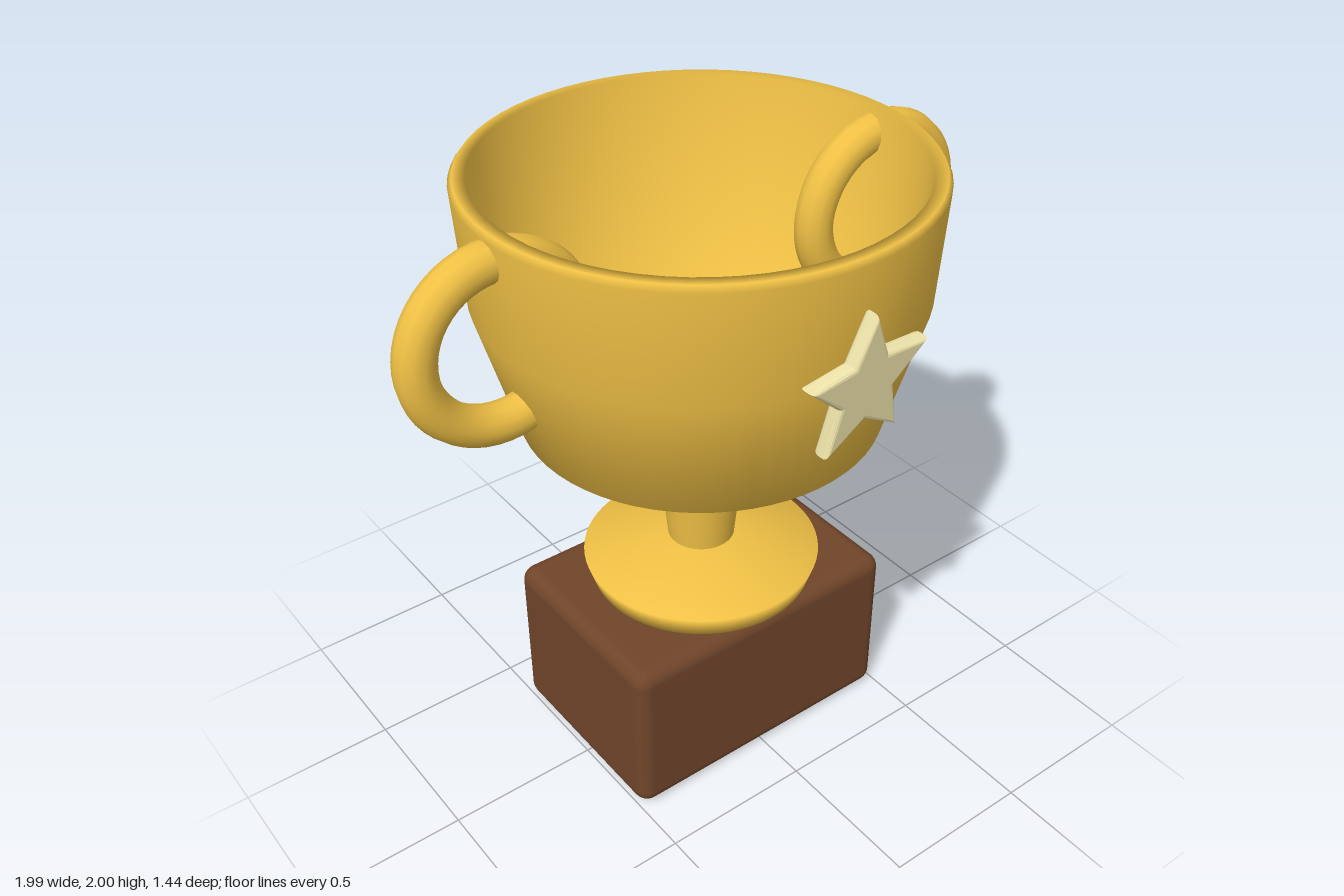
import * as THREE from 'three';
import { RoundedBoxGeometry } from 'three/addons/geometries/RoundedBoxGeometry.js';

const gold = new THREE.MeshStandardMaterial({ color: 0xefc045 });
const brown = new THREE.MeshStandardMaterial({ color: 0x70452a });
const cream = new THREE.MeshStandardMaterial({ color: 0xeee3aa });

const AXIS_Z = -0.022; // the cup stands slightly behind the origin

function part(name, geometry, material, x, y, z) {
  const mesh = new THREE.Mesh(geometry, material);
  mesh.name = name;
  mesh.position.set(x, y, z);
  return mesh;
}

// Smooth turned part from [radius, height] pairs, outside upwards
function turned(name, profile) {
  const points = profile.map(([r, y]) => new THREE.Vector2(r, y));
  return part(name, new THREE.LatheGeometry(points, 64), gold, 0, 0, AXIS_Z);
}

// Five-pointed star with softened edges, centred on its thickness
function starGeometry(outer, inner) {
  const shape = new THREE.Shape();
  for (let i = 0; i < 10; i++) {
    const r = i % 2 ? inner : outer;
    const a = Math.PI / 2 + (i * Math.PI) / 5;
    if (i) shape.lineTo(r * Math.cos(a), r * Math.sin(a));
    else shape.moveTo(r * Math.cos(a), r * Math.sin(a));
  }
  shape.closePath();
  const geometry = new THREE.ExtrudeGeometry(shape, {
    depth: 0.02, bevelEnabled: true, bevelThickness: 0.015,
    bevelSize: 0.014, bevelOffset: -0.014, bevelSegments: 3,
  });
  geometry.translate(0, 0, -0.01);
  return geometry;
}

export function createModel() {
  const trophy = new THREE.Group();
  trophy.name = 'trophy';

  // Plinth with rounded edges
  trophy.add(part('plinth', new RoundedBoxGeometry(1, 0.565, 0.7, 4, 0.05), brown, 0, 0.2825, AXIS_Z));

  // Foot and stem
  trophy.add(turned('foot', [[0, 0.567], [0.362, 0.567], [0.386, 0.643], [0.11, 0.703], [0, 0.703]]));
  trophy.add(turned('stem', [[0.107, 0.69], [0.136, 0.985]]));

  // Hollow cup: outside, rim, straight inner wall, flat floor
  trophy.add(turned('cup', [
    [0, 0.975], [0.235, 0.975], [0.56, 1.205], [0.678, 1.63], [0.699, 1.982],
    [0.686, 2], [0.648, 2], [0.525, 1.2], [0, 1.2],
  ]));

  // Ring handles passing through the cup wall
  for (const side of [1, -1]) {
    const ring = new THREE.TorusGeometry(0.25, 0.061, 12, 48);
    trophy.add(part(side > 0 ? 'leftHandle' : 'rightHandle', ring, gold, side * 0.682, 1.67, AXIS_Z));
  }

  // Star on the front, slightly turned and tilted
  const star = part('star', starGeometry(0.226, 0.106), cream, 0, 1.634, 0.681);
  star.rotation.set(0.08, 0.06, 0);
  trophy.add(star);

  return trophy;
}
